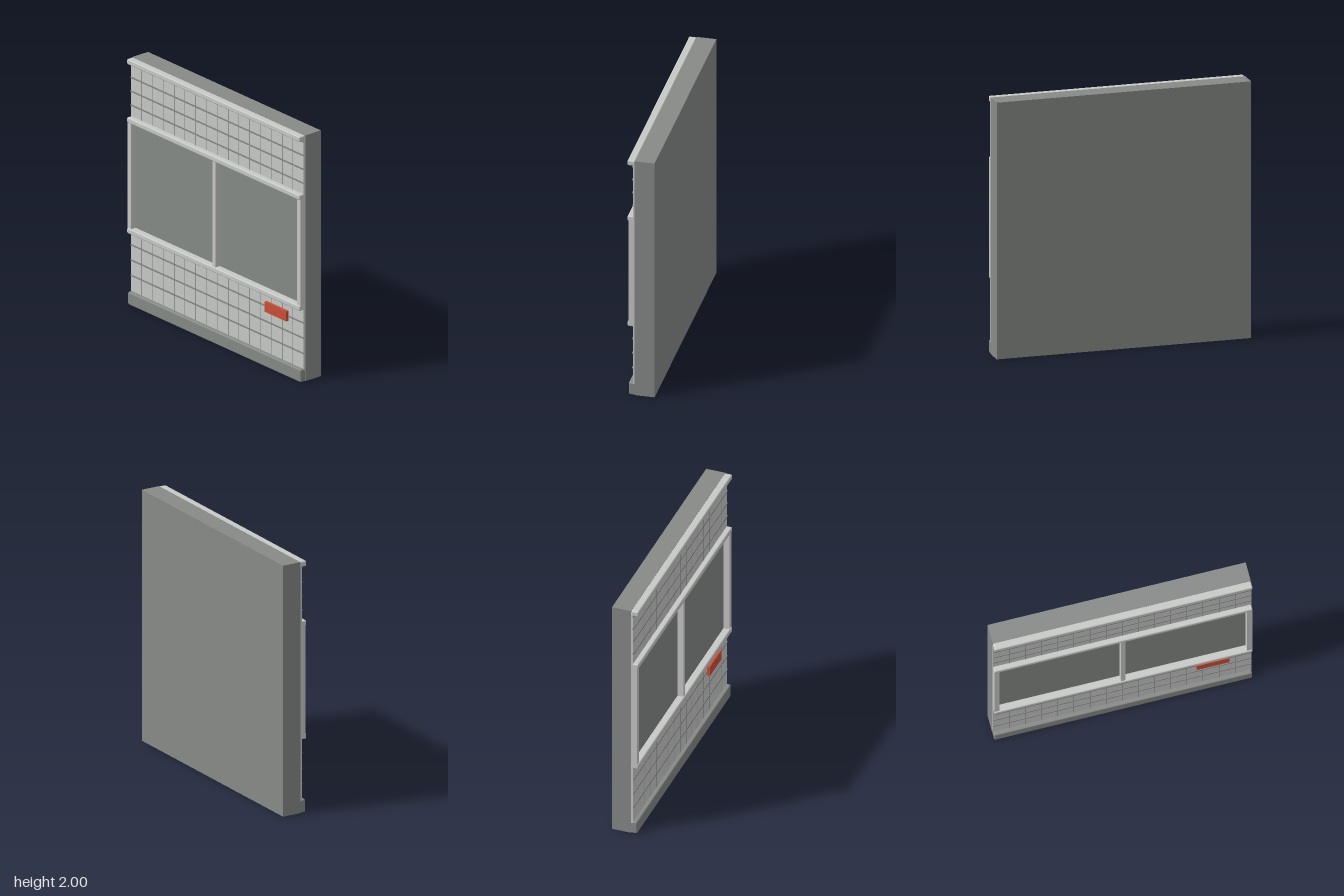
import * as THREE from 'three';
import { RoundedBoxGeometry } from 'three/addons/geometries/RoundedBoxGeometry.js';

const mat = (name, color) => {
  const m = new THREE.MeshStandardMaterial({ color });
  m.name = name;
  return m;
};

export function createModel() {
  const darkGrey = mat('dark grey', 0x868a87);
  const lightGrey = mat('light grey', 0xc7c9c7);
  const red = mat('red', 0xcb4f39);
  const model = new THREE.Group();
  model.name = 'wallPanel';

  // Box given by its limits on each axis; a radius rounds its edges
  const box = (name, material, [x0, x1], [y0, y1], [z0, z1], radius = 0, parent = model) => {
    const size = [x1 - x0, y1 - y0, z1 - z0];
    const geometry = radius ? new RoundedBoxGeometry(...size, 2, radius) : new THREE.BoxGeometry(...size);
    const mesh = new THREE.Mesh(geometry, material);
    mesh.position.set((x0 + x1) / 2, (y0 + y1) / 2, (z0 + z1) / 2);
    mesh.name = name;
    parent.add(mesh);
  };

  // Wall slab
  box('wall', darkGrey, [-1, 1], [0, 2], [-0.105, 0.048]);

  // Tiled cladding above and below the window, with raised horizontal joints and thin vertical ones
  const cladding = (name, y0, y1, joints) => {
    const group = new THREE.Group();
    group.name = name;
    box('tiles', lightGrey, [-1, 1], [y0, y1], [0.048, 0.063], 0, group);
    for (const y of joints) {
      box('horizontalJoint', darkGrey, [-1, 1], [y - 0.006, y + 0.006], [0.056, 0.067], 0, group);
    }
    for (let i = -7; i <= 7; i++) {
      const x = i * 0.125;
      box('verticalJoint', darkGrey, [x - 0.002, x + 0.002], [y0, y1], [0.058, 0.065], 0, group);
    }
    model.add(group);
  };
  cladding('upperCladding', 1.5, 1.97, [1.95, 1.84, 1.728, 1.615]);
  cladding('lowerCladding', 0.09, 0.6, [0.478, 0.354, 0.23]);

  // Rounded rails and skirting
  box('topRail', lightGrey, [-1, 1], [1.957, 2], [0.045, 0.105], 0.01);
  box('windowHeadRail', lightGrey, [-1, 1], [1.483, 1.526], [0.045, 0.105], 0.01);
  box('windowSillRail', lightGrey, [-1, 1], [0.582, 0.625], [0.045, 0.105], 0.01);
  box('skirting', darkGrey, [-1, 1], [0, 0.103], [0.04, 0.095], 0.01);

  // Window posts
  for (const s of [-1, 1]) {
    box('sidePost', lightGrey, s < 0 ? [-1, -0.958] : [0.958, 1], [0.61, 1.495], [0.048, 0.096]);
  }
  box('centrePost', lightGrey, [-0.018, 0.016], [0.61, 1.495], [0.048, 0.096]);

  // Red plate on the lower cladding
  box('redPlate', red, [0.572, 0.824], [0.44, 0.522], [0.063, 0.086]);

  return model;
}
